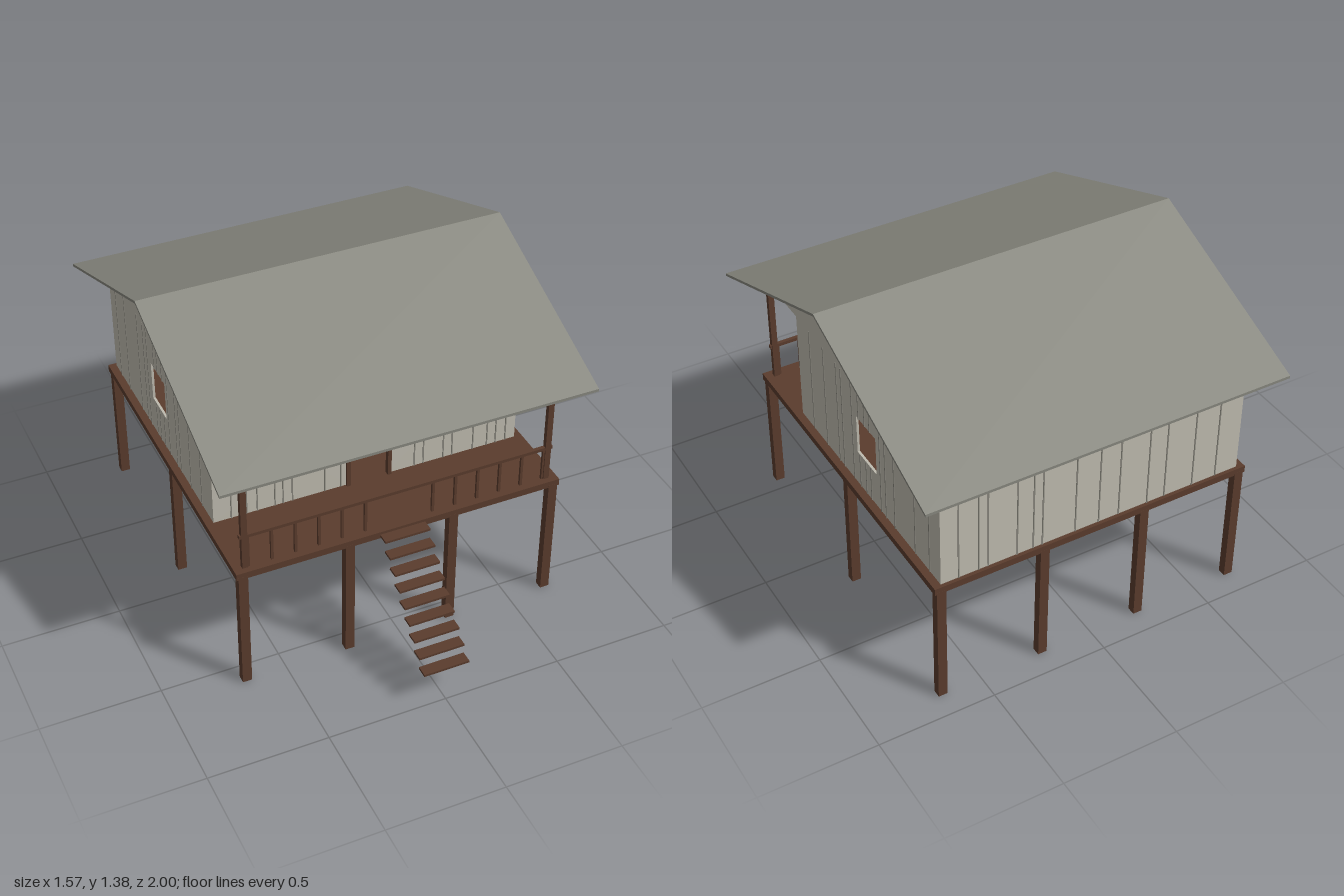
import * as THREE from 'three';

const wood = new THREE.MeshStandardMaterial({ color: 0x5a3c2d });
wood.name = 'dark wood';
const plank = new THREE.MeshStandardMaterial({ color: 0xbfbbaf });
plank.name = 'pale wall planks';
const seam = new THREE.MeshStandardMaterial({ color: 0x85837a });
seam.name = 'plank seams';
const tin = new THREE.MeshStandardMaterial({ color: 0x87877e });
tin.name = 'grey roof';

const FLOOR = 0.57, EAVE = 1.055, BACK = -0.885, FRONT = 0.27, PORCH = 0.555, RIDGE = -0.16;
const HALF = 0.665, THICK = 0.01;

function box(parent, name, mat, w, h, d, x, y, z) {
  const mesh = new THREE.Mesh(new THREE.BoxGeometry(w, h, d), mat);
  mesh.name = name;
  mesh.position.set(x, y, z);
  parent.add(mesh);
  return mesh;
}

const toShape = (pts) => new THREE.Shape(pts.map(([x, y]) => new THREE.Vector2(x, y)));
const rect = (x0, x1, y0, y1) => [[x0, y0], [x1, y0], [x1, y1], [x0, y1]];

// Flat wall with window holes [x0, x1, y0, y1] and thin seams outside, broken at the openings
function wall(name, outline, windows, seams, gaps = windows) {
  const g = new THREE.Group();
  g.name = name;
  const shape = toShape(outline);
  for (const w of windows) shape.holes.push(new THREE.Path(toShape(rect(...w)).getPoints()));
  const geo = new THREE.ExtrudeGeometry(shape, { depth: THICK, bevelEnabled: false });
  geo.translate(0, 0, -THICK);
  const panel = new THREE.Mesh(geo, plank);
  panel.name = name + 'Panel';
  g.add(panel);
  for (const x of seams) {
    const gap = gaps.find(([x0, x1]) => x > x0 - 0.004 && x < x1 + 0.004);
    const spans = gap ? [[FLOOR, gap[2]], [gap[3], EAVE]] : [[FLOOR, EAVE]];
    for (const [a, b] of spans) {
      if (b - a > 0.01) box(g, 'plankSeam', seam, 0.005, b - a, 0.004, x, (a + b) / 2, 0.001);
    }
  }
  return g;
}

// Four- or three-sided trim around an opening
function frame(parent, name, x0, x1, y0, y1, z, sill) {
  const t = 0.016, d = 0.022;
  for (const x of [x0 + t / 2, x1 - t / 2]) box(parent, name + 'Jamb', wood, t, y1 - y0, d, x, (y0 + y1) / 2, z);
  box(parent, name + 'Head', wood, x1 - x0, t, d, (x0 + x1) / 2, y1 - t / 2, z);
  if (sill) box(parent, name + 'Sill', wood, x1 - x0, t, d, (x0 + x1) / 2, y0 + t / 2, z);
}

export function createModel() {
  const model = new THREE.Group();
  model.name = 'stiltHouse';

  // Stilts and deck
  for (const x of [-0.67, -0.224, 0.224, 0.67])
    for (const z of [0.573, -0.155, -0.883])
      box(model, 'stilt', wood, 0.039, 0.55, 0.035, x, 0.275, z);
  box(model, 'deck', wood, 1.395, 0.03, 1.49, 0, 0.555, -0.155);

  // Open stair treads
  for (let i = 0; i < 9; i++)
    box(model, 'stairTread', wood, 0.194, 0.01, 0.049, 0, 0.553 - i * 0.0488, 0.613 + i * 0.0453);

  // Front wall with doorway and two windows
  const door = [-0.084, 0.084, FLOOR, 0.94];
  const frontWindows = [-1, 1].map((s) => [s * 0.337 - 0.084, s * 0.337 + 0.084, 0.718, 0.902]);
  const front = wall('frontWall',
    [[-HALF, FLOOR], [door[0], FLOOR], [door[0], door[3]], [door[1], door[3]], [door[1], FLOOR],
      [HALF, FLOOR], [HALF, EAVE], [-HALF, EAVE]],
    frontWindows,
    [-0.59, -0.55, -0.525, -0.48, -0.405, -0.37, -0.33, -0.19, -0.12, 0.205, 0.245, 0.335, 0.375, 0.47, 0.535, 0.575, 0.62],
    [...frontWindows, door]);
  front.position.z = FRONT;
  model.add(front);

  // Door and window trim, with inward-opening shutters
  frame(model, 'doorFrame', -0.098, 0.098, FLOOR, 0.955, FRONT + 0.002, false);
  for (const [x0, x1, y0, y1] of frontWindows) {
    frame(model, 'windowFrame', x0 - 0.016, x1 + 0.016, y0 - 0.016, y1 + 0.016, FRONT + 0.002, true);
    for (const [edge, s] of [[x0, 1], [x1, -1]]) {
      const hinge = new THREE.Group();
      hinge.name = 'shutter';
      hinge.position.set(edge, (y0 + y1) / 2, FRONT - THICK);
      hinge.rotation.y = s * 1.2;
      box(hinge, 'shutterPanel', wood, 0.084, y1 - y0, 0.008, s * 0.042, 0, 0);
      model.add(hinge);
    }
  }

  // Back wall
  const back = wall('backWall', rect(-HALF, HALF, FLOOR, EAVE), [],
    [-0.59, -0.505, -0.465, -0.34, -0.27, -0.23, -0.085, 0.02, 0.11, 0.24, 0.32, 0.45, 0.56]);
  back.position.z = BACK;
  back.rotation.y = Math.PI;
  model.add(back);

  // Side walls with gables reaching out over the porch
  const sideSeams = [0.155, 0.035, -0.075, -0.115, -0.2, -0.255, -0.305, -0.345, -0.425, -0.465, -0.535, -0.695, -0.805];
  for (const s of [1, -1]) {
    const flip = (pts) => pts.map(([z, y]) => [-s * z, y]);
    const hole = s > 0 ? [0.233, 0.39, 0.73, 0.905] : [-0.39, -0.233, 0.73, 0.905];
    const side = wall(s > 0 ? 'leftWall' : 'rightWall',
      flip([[FRONT, FLOOR], [BACK, FLOOR], [BACK, EAVE], [RIDGE, 1.366], [PORCH, EAVE], [FRONT, EAVE]]),
      [hole], sideSeams.map((z) => -s * z));
    side.position.x = s * HALF;
    side.rotation.y = s * Math.PI / 2;
    model.add(side);
  }

  // Porch posts, rail and balusters
  for (const s of [-1, 1]) {
    box(model, 'porchPost', wood, 0.025, 0.51, 0.02, s * 0.65, FLOOR + 0.255, PORCH);
    for (let i = 0; i < 6; i++)
      box(model, 'baluster', wood, 0.011, 0.15, 0.011, s * (0.145 + i * 0.098), FLOOR + 0.075, PORCH);
  }
  box(model, 'porchRail', wood, 1.34, 0.014, 0.016, 0, 0.722, PORCH);

  // Gable roof, one bent sheet extruded along x
  const roofShape = toShape([[-0.68, 1.042], [-RIDGE, 1.367], [1, 1.042], [1, 1.054], [-RIDGE, 1.379], [-0.68, 1.054]]);
  const roofGeo = new THREE.ExtrudeGeometry(roofShape, { depth: 1.565, bevelEnabled: false });
  roofGeo.translate(0, 0, -0.7825);
  const roof = new THREE.Mesh(roofGeo, tin);
  roof.name = 'roof';
  roof.rotation.y = Math.PI / 2;
  model.add(roof);

  return model;
}
